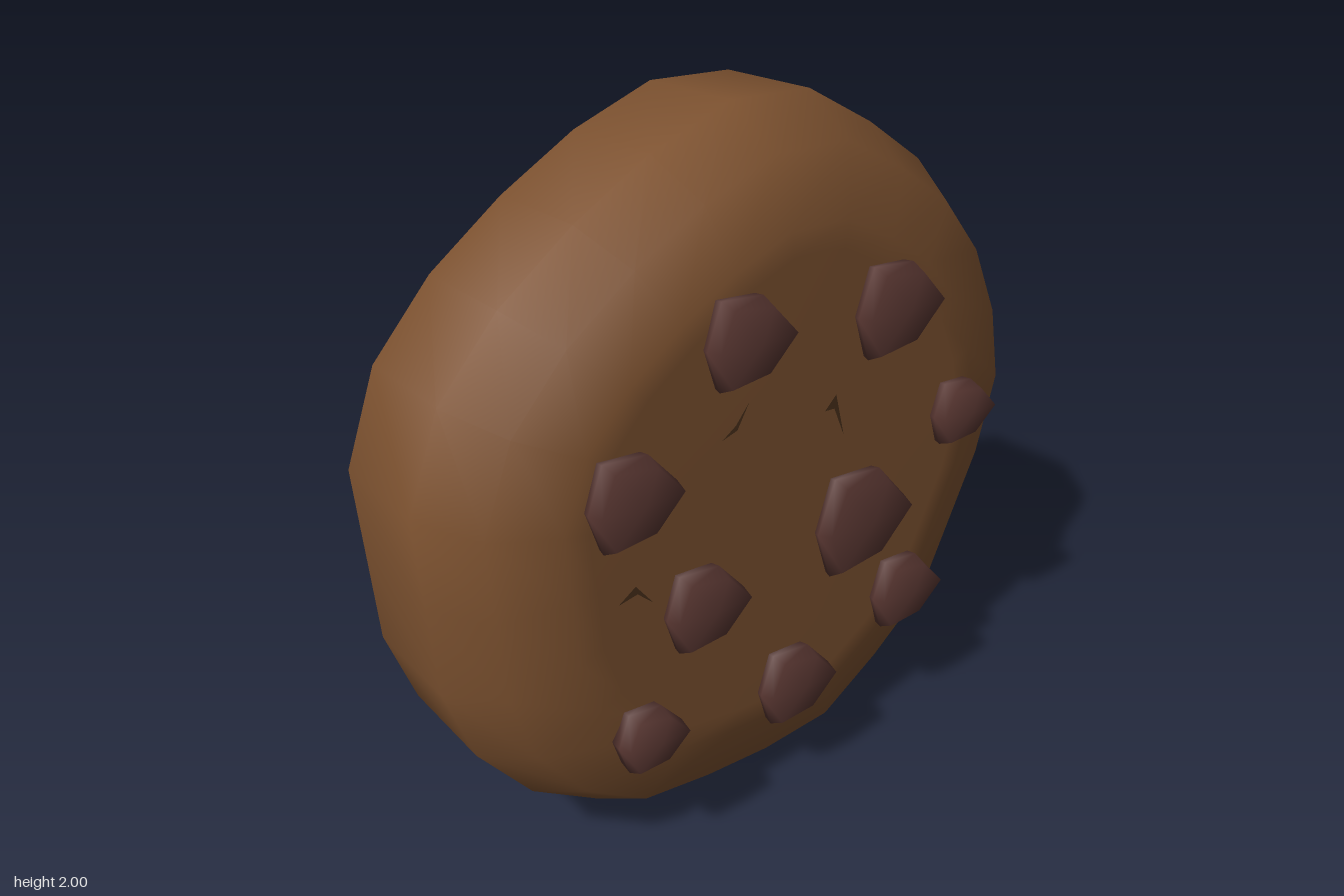
import * as THREE from 'three';

// Joins cross-sections (ordered back to front, each counter-clockwise) and closes both ends.
function loft(rings, backCentre, frontCentre) {
  const n = rings[0].length;
  const points = [...rings.flat(), backCentre, frontCentre];
  const last = (rings.length - 1) * n;
  const back = points.length - 2, front = points.length - 1;
  const index = [];
  for (let i = 0; i < n; i++) {
    const j = (i + 1) % n;
    for (let r = 0; r < last; r += n) {
      index.push(r + i, r + j, r + n + j, r + i, r + n + j, r + n + i);
    }
    index.push(back, j, i, front, last + i, last + j);
  }
  const geometry = new THREE.BufferGeometry();
  geometry.setAttribute('position', new THREE.Float32BufferAttribute(points.flat(), 3));
  geometry.setIndex(index);
  geometry.computeVertexNormals();
  return geometry;
}

// Uneven rim of the biscuit, clockwise from the top.
const RIM = [
  [-0.02, 2], [0.25, 1.97], [0.48, 1.83], [0.68, 1.68], [0.84, 1.48], [0.95, 1.24],
  [1, 0.99], [0.93, 0.73], [0.81, 0.49], [0.7, 0.27], [0.48, 0.12], [0.25, 0],
  [-0.02, 0.01], [-0.27, 0.05], [-0.52, 0.11], [-0.73, 0.27], [-0.89, 0.49], [-0.97, 0.73],
  [-0.985, 0.99], [-1, 1.25], [-0.9, 1.5], [-0.72, 1.68], [-0.5, 1.82], [-0.27, 1.93],
].reverse();

// Edge profile of the biscuit: scale of the rim and depth, back to front.
const PROFILE = [[0.8, -0.335], [0.86, -0.34], [0.98, -0.25], [1, 0.04], [0.91, 0.2], [0.73, 0.255], [0.66, 0.26]];

// Chip outline, a blunt arrowhead pointing to +x.
const CHIP = [[1, 0], [0.36, 0.79], [-0.66, 0.95], [-1, 0], [-0.7, -0.95], [0.28, -0.81]];

// Chip centres and half widths.
const CHIPS = [
  [-0.185, 1.52, 0.125], [0.345, 1.435, 0.137], [-0.55, 1.23, 0.128],
  [0.64, 1.02, 0.1], [-0.327, 0.817, 0.123], [0.25, 0.83, 0.163],
  [-0.52, 0.5, 0.098], [0.005, 0.394, 0.123], [0.445, 0.5, 0.118],
];

// Small surface cracks as thin bent slivers.
const CRACKS = [
  [[-0.16, 1.33], [-0.2, 1.265], [-0.25, 1.255], [-0.205, 1.28]],
  [[0.15, 1.235], [0.11, 1.2], [0.145, 1.195], [0.185, 1.1]],
  [[-0.59, 0.93], [-0.53, 0.935], [-0.48, 0.885], [-0.535, 0.96]],
];

export function createModel() {
  const dough = new THREE.MeshStandardMaterial({ color: 0x7d5230 });
  dough.name = 'baked dough';
  const chocolate = new THREE.MeshStandardMaterial({ color: 0x583631 });
  chocolate.name = 'dark chocolate';
  const crackBrown = new THREE.MeshStandardMaterial({ color: 0x4a301b, side: THREE.DoubleSide });
  crackBrown.name = 'crack brown';

  const model = new THREE.Group();
  model.name = 'chocolateChipBiscuit';
  const add = (name, geometry, material) => {
    const mesh = new THREE.Mesh(geometry, material);
    mesh.name = name;
    model.add(mesh);
    return mesh;
  };

  // Thick biscuit with a slightly wavy back rim
  const biscuitRings = PROFILE.map(([s, z], ring) => RIM.map(([x, y], i) =>
    [x * s, 1 + (y - 1) * s, z + (ring === 1 ? 0.006 * Math.sin(i * 2.1) : 0)]));
  add('biscuit', loft(biscuitRings, [0, 1, -0.335], [0, 1, 0.26]), dough);

  // Chips, each leaning up towards +x
  const chipRings = [[0.93, 0.24, 0], [1, 0.285, 0.008], [0.86, 0.326, 0.018]].map(([s, z, tilt]) =>
    CHIP.map(([x, y]) => [x * s, y * s, z + x * tilt]));
  const chipGeometry = loft(chipRings, [0, 0, 0.24], [0, 0, 0.335]);
  CHIPS.forEach(([x, y, r], i) => {
    const chip = add(`chip${i + 1}`, chipGeometry, chocolate);
    chip.position.set(x, y, 0);
    chip.scale.set(r, r, 1);
  });

  // Cracks lying on the front face
  CRACKS.forEach((outline, i) => {
    const shape = new THREE.Shape(outline.map(([x, y]) => new THREE.Vector2(x, y)));
    add(`crack${i + 1}`, new THREE.ShapeGeometry(shape), crackBrown).position.z = 0.264;
  });

  return model;
}
